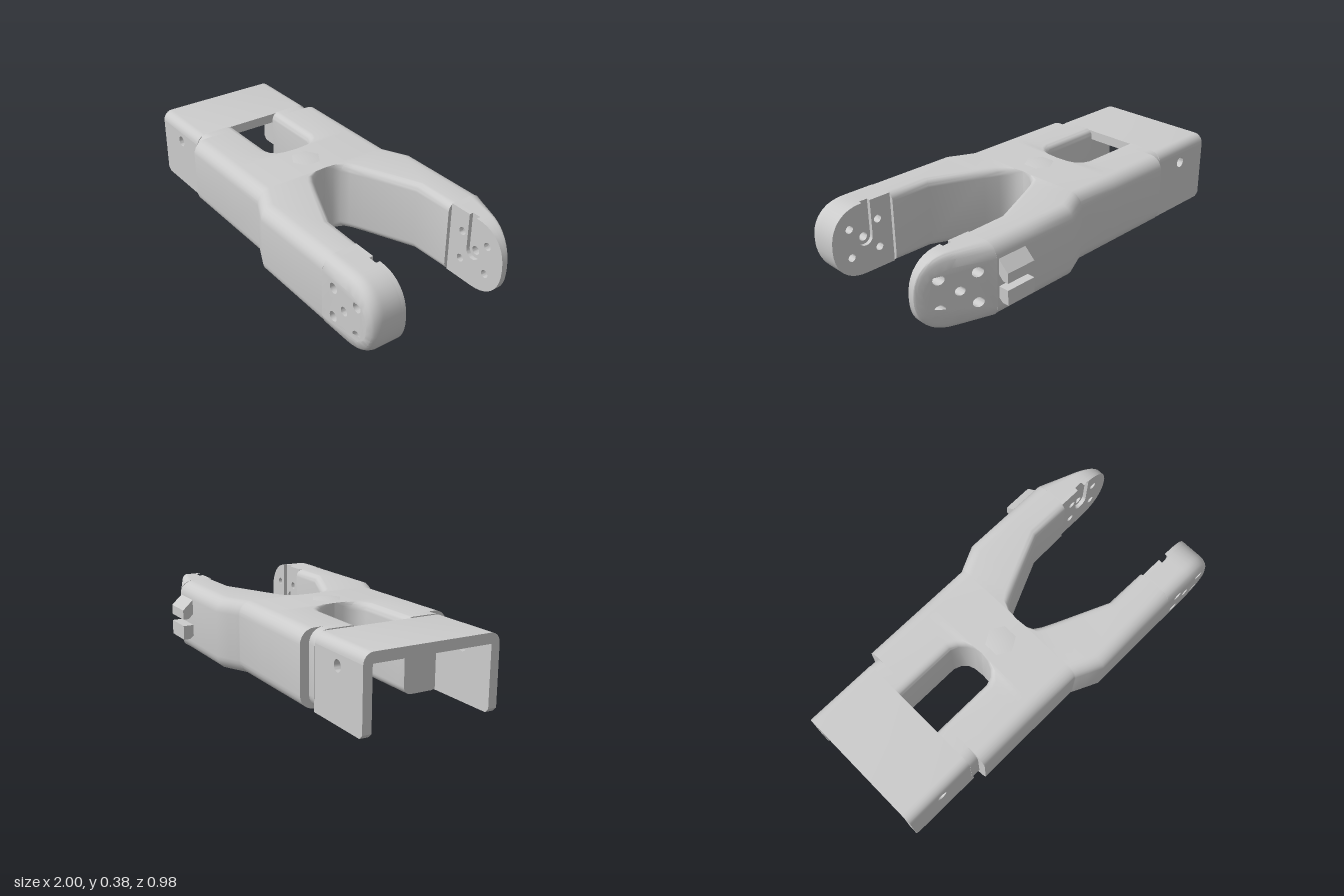
import * as THREE from 'three';
import { toCreasedNormals } from 'three/addons/utils/BufferGeometryUtils.js';

const MID = 0.025;   // z of the symmetry plane
const CY = 0.185;    // half of the height
const material = new THREE.MeshStandardMaterial({ color: 0xcccccc, side: THREE.DoubleSide });

// Mesh from a geometry in mid-plane coordinates; side -1 mirrors it to the back
function part(name, geometry, side = 1) {
  const flat = geometry.index ? geometry.toNonIndexed() : geometry;
  const p = flat.attributes.position;
  const out = [];
  for (let i = 0; i < p.count; i += 3) {
    for (const k of side > 0 ? [0, 1, 2] : [0, 2, 1]) {
      out.push(p.getX(i + k), p.getY(i + k), MID + side * p.getZ(i + k));
    }
  }
  const g = new THREE.BufferGeometry();
  g.setAttribute('position', new THREE.Float32BufferAttribute(out, 3));
  const mesh = new THREE.Mesh(toCreasedNormals(g, 0.55), material);
  mesh.name = name;
  return mesh;
}

// Rounded section, from inner edge a to outer edge b, with their corner radii
function section(a, b, ra, rb) {
  const pts = [];
  const corner = (z, y, r, start) => {
    for (let i = 0; i <= 6; i++) {
      const t = start + (i / 6) * Math.PI / 2;
      pts.push([z + r * Math.cos(t), y + r * Math.sin(t)]);
    }
  };
  corner(a + ra, ra, ra, Math.PI);
  corner(b - rb, rb, rb, -Math.PI / 2);
  corner(b - rb, 2 * CY - rb, rb, 0);
  corner(a + ra, 2 * CY - ra, ra, Math.PI / 2);
  return pts;
}

// Arm lofted along x; the two halves join where the inner edge is 0
function armGeometry() {
  const stations = [ // x, inner, outer
    [-0.62, 0.125, 0.35], [-0.57, 0.125, 0.35], [-0.57, 0.125, 0.395],
    [-0.29, 0.125, 0.395], [-0.25, 0.11, 0.395], [-0.22, 0.08, 0.395],
    [-0.205, 0.045, 0.395], [-0.2, 0, 0.395], [0.045, 0, 0.395],
    [0.05, 0.045, 0.398], [0.07, 0.08, 0.408], [0.11, 0.107, 0.427],
    [0.18, 0.14, 0.46], [0.44, 0.255, 0.46], [0.66, 0.26, 0.46],
  ];
  const pos = [], idx = [];
  const n = 28;
  stations.forEach(([x, a, b]) => {
    for (const [z, y] of section(a, b, Math.min(0.04, a * 0.6), 0.07)) pos.push(x, y, z);
  });
  for (let i = 0; i + 1 < stations.length; i++) {
    const joined = stations[i][1] === 0 && stations[i + 1][1] === 0;
    for (let j = 0; j < n; j++) {
      if (joined && j === n - 1) continue;
      const a = i * n + j, b = i * n + (j + 1) % n;
      idx.push(a, a + n, b + n, a, b + n, b);
    }
  }
  const last = (stations.length - 1) * n;
  for (let j = 1; j + 1 < n; j++) {
    idx.push(0, j, j + 1);
    idx.push(last, last + j + 1, last + j);
  }
  const g = new THREE.BufferGeometry();
  g.setAttribute('position', new THREE.Float32BufferAttribute(pos, 3));
  g.setIndex(idx);
  return g;
}

function circleHole(shape, x, y, r) {
  const path = new THREE.Path();
  path.absarc(x, y, r, 0, Math.PI * 2, true);
  shape.holes.push(path);
}

// Rounded arm end with bolt holes, optionally with a slot open to the top
function tipShape(slotted) {
  const s = new THREE.Shape();
  s.moveTo(0.66, 0);
  for (let i = 0; i <= 20; i++) {
    const t = -Math.PI / 2 + (i / 20) * Math.PI;
    const c = Math.cos(t), v = Math.sin(t), e = 2 / 2.3;
    s.lineTo(0.82 + 0.18 * Math.pow(Math.max(c, 0), e), CY + CY * Math.sign(v) * Math.pow(Math.abs(v), e));
  }
  if (slotted) {
    s.lineTo(0.855, 2 * CY - 0.006);
    s.lineTo(0.855, 0.185);
    s.absarc(0.815, 0.185, 0.04, 0, -Math.PI, true);
    s.lineTo(0.775, 2 * CY);
  }
  s.lineTo(0.66, 2 * CY);
  for (const x of [0.74, 0.9]) for (const y of [-0.075, 0.075]) circleHole(s, x, CY + y, slotted ? 0.02 : 0.025);
  if (!slotted) circleHole(s, 0.815, CY, 0.022);
  return s;
}

// Outer layer of the arm end: rounded rim, thinning toward the end by taper
function tipGeometry(taper) {
  const D = 0.16, r = 0.065;
  const g = new THREE.ExtrudeGeometry(tipShape(false), { depth: D, steps: 14, bevelEnabled: false, curveSegments: 10 });
  const p = g.attributes.position;
  for (let i = 0; i < p.count; i++) {
    let x = p.getX(i), y = p.getY(i);
    const z = p.getZ(i);
    const u = Math.max(0, (r - (D - z)) / r);
    const k = 1 - Math.sqrt(Math.max(0, 1 - u * u));
    if (x > 0.93 || Math.abs(y - CY) > 0.12) {
      if (x > 0.82) x = 0.82 + (x - 0.82) * (1 - k * 0.035 / 0.18);
      y = CY + (y - CY) * (1 - k * r / CY);
    }
    p.setXYZ(i, x, y, 0.3 + z * (1 - taper * Math.max(0, x - 0.66) / 0.34));
  }
  return g;
}

// Prism of a (z, y) profile running from x0 to x1
function prismX(points, x0, x1) {
  const s = new THREE.Shape(points.map(([z, y]) => new THREE.Vector2(-z, y)));
  const g = new THREE.ExtrudeGeometry(s, { depth: x1 - x0, bevelEnabled: false });
  g.rotateY(Math.PI / 2);
  g.translate(x0, 0, 0);
  return g;
}

export function createModel() {
  const model = new THREE.Group();
  model.name = 'forkBracket';

  for (const side of [1, -1]) {
    const label = side > 0 ? 'front' : 'back';
    model.add(part(label + 'Arm', armGeometry(), side));
    model.add(part(label + 'ArmEnd', tipGeometry(side > 0 ? 0 : 0.9), side));

    // Slotted seat on the inner face of the arm end
    const seat = new THREE.ExtrudeGeometry(tipShape(true), { depth: 0.022, bevelEnabled: false });
    seat.translate(0, 0, 0.279);
    model.add(part(label + 'SlottedSeat', seat, side));

    // Channel wall with a screw hole
    const wall = new THREE.Shape();
    wall.moveTo(-0.98, 0);
    wall.lineTo(-0.61, 0);
    wall.lineTo(-0.61, 0.315);
    wall.lineTo(-1, 0.315);
    wall.lineTo(-1, 0.02);
    circleHole(wall, -0.805, 0.262, 0.028);
    const wallGeo = new THREE.ExtrudeGeometry(wall, { depth: 0.045, bevelEnabled: false });
    wallGeo.translate(0, 0, 0.303);
    model.add(part(label + 'ChannelWall', wallGeo, side));
  }

  // Channel roof with rounded long edges
  const roof = [];
  for (let i = 0; i <= 6; i++) {
    const t = (i / 6) * Math.PI / 2;
    roof.push([0.298 + 0.05 * Math.cos(t), 0.315 + 0.05 * Math.sin(t)]);
  }
  roof.push(...roof.map(([z, y]) => [-z, y]).reverse());
  model.add(part('channelRoof', prismX(roof, -1, -0.62)));

  // Pair of cable hooks on the back arm
  const hooks = {
    upperHook: [[0.45, 0.31], [0.515, 0.25], [0.515, 0.2], [0.485, 0.2], [0.45, 0.235]],
    lowerHook: [[0.45, 0.165], [0.515, 0.165], [0.515, 0.09], [0.48, 0.09], [0.45, 0.115]],
  };
  for (const [name, pts] of Object.entries(hooks)) model.add(part(name, prismX(pts, 0.49, 0.65), -1));

  // Low ridge on top of the bridge
  const ridge = new THREE.ConeGeometry(0.09, 0.014, 6);
  ridge.translate(-0.09, 0.375, 0.02);
  model.add(part('bridgeRidge', ridge));

  return model;
}
